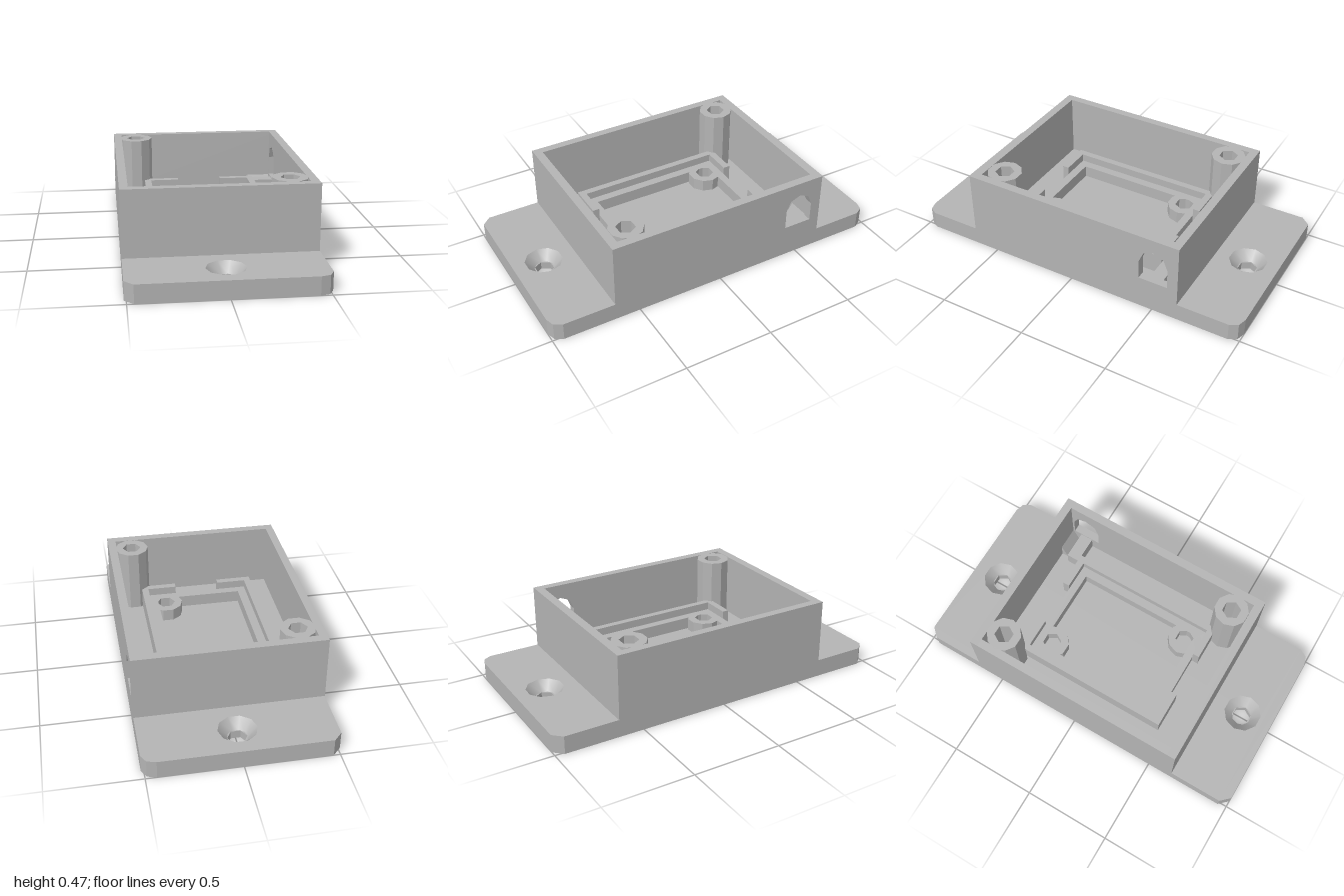
import * as THREE from 'three';

export function createModel() {
  const model = new THREE.Group();
  const grey = new THREE.MeshStandardMaterial({ color: 0xb4b4b4, side: THREE.DoubleSide });
  grey.name = 'grey plastic';

  const add = (name, geometry) => {
    const mesh = new THREE.Mesh(geometry, grey);
    mesh.name = name;
    model.add(mesh);
    return mesh;
  };
  const vectors = (points) => points.map(([a, b]) => new THREE.Vector2(a, b));
  const makeShape = (outline, holes = []) => {
    const shape = new THREE.Shape(vectors(outline));
    holes.forEach((h) => shape.holes.push(new THREE.Path(vectors(h))));
    return shape;
  };
  const flip = (points) => points.map(([x, z]) => [x, -z]);
  // Upright prism from a plan given as [x, z] points
  const prism = (name, outline, holes, y0, y1) => {
    const g = new THREE.ExtrudeGeometry(makeShape(flip(outline), holes.map(flip)),
      { depth: y1 - y0, bevelEnabled: false });
    g.rotateX(-Math.PI / 2).translate(0, y0, 0);
    return add(name, g);
  };
  // Sideways prism from a profile given as [z, y] points
  const sidePrism = (name, outline, holes, x0, x1) => {
    const g = new THREE.ExtrudeGeometry(makeShape(flipZ(outline), holes.map(flipZ)),
      { depth: x1 - x0, bevelEnabled: false });
    g.rotateY(Math.PI / 2).translate(x0, 0, 0);
    return add(name, g);
  };
  const flipZ = (points) => points.map(([z, y]) => [-z, y]);
  const box = (name, x0, x1, y0, y1, z0, z1) => {
    const g = new THREE.BoxGeometry(x1 - x0, y1 - y0, z1 - z0);
    g.translate((x0 + x1) / 2, (y0 + y1) / 2, (z0 + z1) / 2);
    return add(name, g);
  };
  const ngon = (n, r, x, z) => Array.from({ length: n }, (_, i) => {
    const a = (i / n) * Math.PI * 2;
    return [x + r * Math.cos(a), z + r * Math.sin(a)];
  });
  const rect = (x, z0, z1) => [[-x, z0], [x, z0], [x, z1], [-x, z1]];

  const FLOOR = 0.1, TOP = 0.465, SINK = 0.045;
  const SCREW_Z = 0.825;

  // Base plate with countersunk mounting holes
  const plate = [[-0.465, -1], [0.44, -1], [0.49, -0.985], [0.515, -0.94],
    [0.515, 0.94], [0.49, 0.985], [0.44, 1], [-0.465, 1], [-0.512, 0.95], [-0.512, -0.95]];
  const screwHoles = (n, r) => [-1, 1].map((s) => ngon(n, r, 0, s * SCREW_Z));
  prism('basePlateLower', plate, screwHoles(6, 0.053), 0, SINK);
  prism('basePlateUpper', plate, screwHoles(10, 0.105), SINK, FLOOR);
  for (const s of [-1, 1]) {
    const cone = new THREE.CylinderGeometry(0.105, 0.055, FLOOR - SINK, 10, 1, true);
    cone.rotateY(Math.PI / 2).translate(0, (FLOOR + SINK) / 2, s * SCREW_Z);
    add('countersink', cone);
  }

  // Enclosure walls, one with an arched cable opening
  box('backWall', -0.515, 0.515, FLOOR, TOP, -0.645, -0.597);
  box('frontWall', -0.515, 0.515, FLOOR, TOP, 0.597, 0.645);
  box('rightWall', -0.515, -0.47, FLOOR, TOP, -0.597, 0.597);
  const arch = [[-0.585, 0.19], [-0.419, 0.19]];
  for (let i = 0; i <= 4; i++) {
    const a = (i * Math.PI) / 4;
    arch.push([-0.502 + 0.083 * Math.cos(a), 0.302 + 0.083 * Math.sin(a)]);
  }
  sidePrism('leftWall', [[-0.597, FLOOR], [0.597, FLOOR], [0.597, TOP], [-0.597, TOP]],
    [arch], 0.468, 0.515);

  // Screw posts: tall ones for the lid, short ones for the board
  const post = (name, x, z, top) =>
    prism(name, ngon(10, 0.097, x, z), [ngon(6, 0.053, x, z)], FLOOR, top);
  post('lidPost', -0.383, -0.508, TOP);
  post('lidPost', 0.38, 0.503, TOP);
  post('boardPost', -0.205, -0.33, 0.17);
  post('boardPost', 0.203, 0.325, 0.17);

  // Board ledge and the two-part fence around it
  prism('boardLedge', rect(0.298, -0.42, 0.418), [rect(0.25, -0.375, 0.37)], FLOOR, 0.17);
  for (const s of [-1, 1]) {
    const bracket = [[0.336, -0.46], [0.13, -0.46], [0.13, -0.42], [0.298, -0.42],
      [0.298, 0.418], [0.13, 0.418], [0.13, 0.456], [0.336, 0.456]];
    prism('boardFence', bracket.map(([x, z]) => [s * x, z]), [], FLOOR, 0.215);
  }

  // Cable rest beside the opening
  box('cableRest', 0.307, 0.47, FLOOR, 0.185, -0.54, -0.465);
  sidePrism('cableRamp', [[-0.6, FLOOR], [-0.555, FLOOR], [-0.6, 0.19]], [], 0.333, 0.47);

  return model;
}
